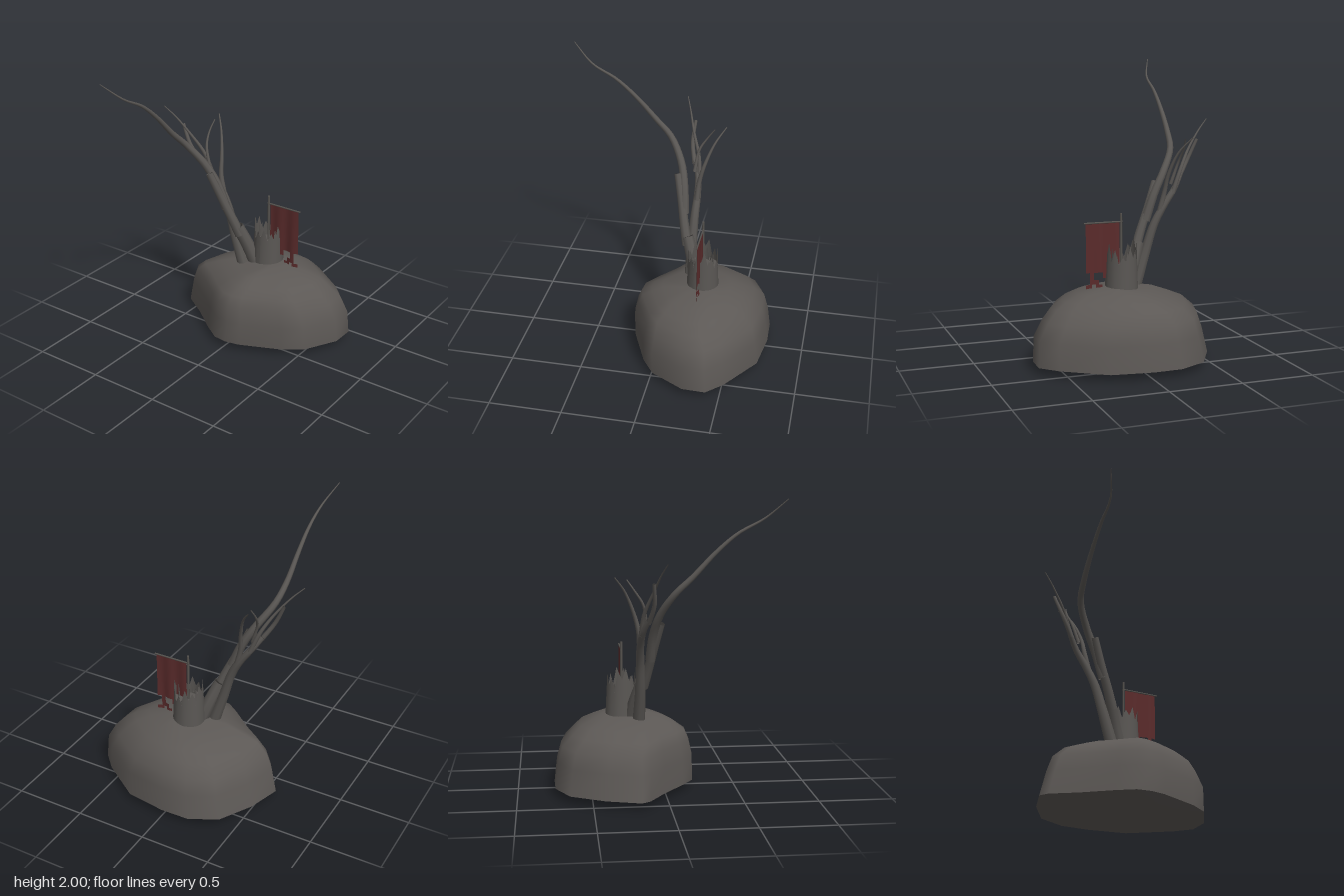
import * as THREE from 'three';

const mat = (name, color, side = THREE.FrontSide) => {
  const m = new THREE.MeshStandardMaterial({ color, side });
  m.name = name;
  return m;
};

export function createModel() {
  const root = new THREE.Group();
  const stone = mat('stone grey', 0x5c5855);
  const bark = mat('bark grey', 0x595653, THREE.DoubleSide);
  const cloth = mat('dull red cloth', 0x5a2b2b, THREE.DoubleSide);
  const wood = mat('pole grey', 0x55524e);
  const add = (name, geo, material, parent = root) => {
    const mesh = new THREE.Mesh(geo, material);
    mesh.name = name;
    parent.add(mesh);
    return mesh;
  };

  // Boulder: one irregular outline, fitted into a box at each height
  const outline = [[-0.59, -0.19], [-0.52, -0.42], [-0.39, -0.65], [-0.2, -0.745], [0, -0.75],
    [0.28, -0.71], [0.56, -0.52], [0.665, -0.41], [0.66, -0.25], [0.53, -0.02], [0.4, 0.07],
    [0.12, 0.19], [0.02, 0.21], [-0.08, 0.2], [-0.2, 0.12], [-0.38, -0.02], [-0.55, -0.13]];
  const loft = (levels) => { // level: y, xMin, xMax, zMin, zMax
    const n = outline.length, pos = [], idx = [];
    for (const [y, x0, x1, z0, z1] of levels)
      for (const [x, z] of outline)
        pos.push(x0 + (x + 0.59) / 1.255 * (x1 - x0), y, z0 + (z + 0.75) / 0.96 * (z1 - z0));
    for (let r = 0; r < levels.length - 1; r++)
      for (let i = 0; i < n; i++) {
        const a = r * n + i, b = r * n + (i + 1) % n;
        idx.push(a, a + n, b, b, a + n, b + n);
      }
    const g = new THREE.BufferGeometry();
    g.setAttribute('position', new THREE.Float32BufferAttribute(pos, 3));
    g.setIndex(idx);
    g.computeVertexNormals();
    return g;
  };
  const boulder = new THREE.Group();
  boulder.name = 'boulder';
  root.add(boulder);
  const foot = [0.05, -0.59, 0.665, -0.75, 0.21];
  add('boulderTop', loft([foot,
    [0.22, -0.55, 0.655, -0.73, 0.21],
    [0.33, -0.51, 0.595, -0.7, 0.185],
    [0.4, -0.43, 0.53, -0.63, 0.155],
    [0.45, -0.31, 0.46, -0.57, 0.08],
    [0.49, -0.2, 0.36, -0.48, 0],
    [0.52, 0.03, 0.22, -0.38, -0.13],
    [0.525, 0.12, 0.12, -0.26, -0.26]]), stone, boulder);
  add('boulderUnderside', loft([
    [0, 0.08, 0.08, -0.25, -0.25],
    [0.01, -0.2, 0.4, -0.5, 0.06], foot]), stone, boulder);

  // Hollow stump with a splintered rim
  const stump = new THREE.Group();
  stump.name = 'stump';
  stump.position.set(0.05, 0, -0.28);
  root.add(stump);
  const rim = [0.72, 0.79, 0.7, 0.76, 0.69, 0.81, 0.74, 0.82, 0.7, 0.78, 0.68, 0.73,
    0.69, 0.8, 0.72, 0.77, 0.7, 0.82, 0.76, 0.84, 0.75, 0.79, 0.7, 0.76];
  const splinter = (radiusTop, radiusBottom, drop) => {
    const g = new THREE.CylinderGeometry(radiusTop, radiusBottom, 0.3, 24, 1, true);
    const p = g.attributes.position;
    for (let i = 0; i < p.count; i++)
      p.setY(i, p.getY(i) > 0 ? rim[(i % 25) % 24] - drop : 0.48);
    g.computeVertexNormals();
    return g;
  };
  add('stumpBark', splinter(0.1, 0.112, 0), bark, stump);
  add('stumpInside', splinter(0.07, 0.08, 0.04), bark, stump);
  const floor = add('stumpFloor', new THREE.CircleGeometry(0.102, 24), bark, stump);
  floor.rotation.x = -Math.PI / 2;
  floor.position.y = 0.67;

  // Tapered limbs swept along curves, closed at the tip
  const limb = (name, points, r0, r1, parent) => {
    const curve = new THREE.CatmullRomCurve3(points.map((q) => new THREE.Vector3(...q)));
    const seg = (points.length - 1) * 4, sides = 8;
    const g = new THREE.TubeGeometry(curve, seg, 1, sides, false);
    const p = g.attributes.position, c = new THREE.Vector3(), v = new THREE.Vector3();
    for (let i = 0; i < p.count; i++) {
      const ring = Math.floor(i / (sides + 1));
      // the last ring folds back to a point as an end cap
      const t = Math.min(ring + (ring === seg - 1 ? 1 : 0), seg) / seg;
      const r = ring === seg ? 0 : r0 + (r1 - r0) * t;
      curve.getPointAt(t, c);
      v.fromBufferAttribute(p, i).sub(curve.getPointAt(ring / seg)).multiplyScalar(r).add(c);
      p.setXYZ(i, v.x, v.y, v.z);
    }
    return add(name, g, bark, parent);
  };
  const tree = new THREE.Group();
  tree.name = 'deadTree';
  root.add(tree);
  limb('frontTrunk', [[-0.01, 0.48, -0.22], [-0.06, 0.62, -0.19], [-0.12, 0.78, -0.14]], 0.05, 0.042, tree);
  limb('brokenTrunk', [[-0.1, 0.72, -0.14], [-0.15, 0.85, -0.11], [-0.21, 0.99, -0.08],
    [-0.285, 1.18, -0.035]], 0.036, 0.025, tree);
  limb('longBranch', [[-0.19, 0.92, -0.1], [-0.26, 1.1, -0.085], [-0.34, 1.24, -0.05],
    [-0.43, 1.39, 0.04], [-0.455, 1.5, 0.15], [-0.463, 1.66, 0.3], [-0.467, 1.78, 0.44],
    [-0.477, 1.875, 0.61], [-0.54, 2, 0.75]], 0.034, 0.003, tree);
  limb('rearTrunk', [[-0.09, 0.48, -0.17], [-0.16, 0.7, -0.165], [-0.225, 0.9, -0.17],
    [-0.29, 1.02, -0.175], [-0.37, 1.13, -0.165], [-0.43, 1.22, -0.13]], 0.043, 0.018, tree);
  limb('bluntBranch', [[-0.42, 1.2, -0.13], [-0.5, 1.33, -0.1], [-0.565, 1.47, -0.11]], 0.017, 0.011, tree);
  limb('outerTwig', [[-0.36, 1.11, -0.175], [-0.42, 1.26, -0.16], [-0.5, 1.4, -0.11],
    [-0.6, 1.53, -0.065], [-0.67, 1.6, -0.033]], 0.017, 0.003, tree);
  limb('rearBranch', [[-0.26, 0.97, -0.175], [-0.295, 1.12, -0.185], [-0.31, 1.24, -0.215],
    [-0.36, 1.4, -0.28], [-0.43, 1.5, -0.35]], 0.021, 0.004, tree);
  limb('innerTwig', [[-0.36, 1.17, -0.14], [-0.405, 1.32, -0.165], [-0.42, 1.41, -0.22],
    [-0.41, 1.485, -0.272]], 0.013, 0.004, tree);

  // Banner: pole, crossbar and torn cloth
  const banner = new THREE.Group();
  banner.name = 'banner';
  banner.position.z = -0.278;
  root.add(banner);
  add('bannerPole', new THREE.CylinderGeometry(0.008, 0.009, 0.51, 8), wood, banner)
    .position.set(0.052, 0.755, 0);
  const bar = add('bannerCrossbar', new THREE.CylinderGeometry(0.006, 0.006, 0.27, 8), wood, banner);
  bar.rotation.z = Math.PI / 2;
  bar.position.set(0.178, 0.953, 0);
  const pieces = [[0.065, 0.3, 0.62, 0.95], [0.13, 0.18, 0.58, 0.62], [0.08, 0.13, 0.6, 0.62],
    [0.24, 0.27, 0.565, 0.62], [0.21, 0.27, 0.54, 0.57], [0.185, 0.23, 0.515, 0.54],
    [0.255, 0.3, 0.515, 0.54]];
  pieces.forEach(([x0, x1, y0, y1], k) => {
    const g = new THREE.PlaneGeometry(x1 - x0, y1 - y0, k ? 2 : 16, k ? 1 : 4);
    g.translate((x0 + x1) / 2, (y0 + y1) / 2, 0);
    const p = g.attributes.position;
    // soft vertical folds
    for (let i = 0; i < p.count; i++)
      p.setZ(i, 0.009 * Math.sin(p.getX(i) * 55) * (0.96 - p.getY(i) + 0.3));
    g.computeVertexNormals();
    add(k ? 'tornClothScrap' : 'bannerCloth', g, cloth, banner);
  });
  return root;
}
